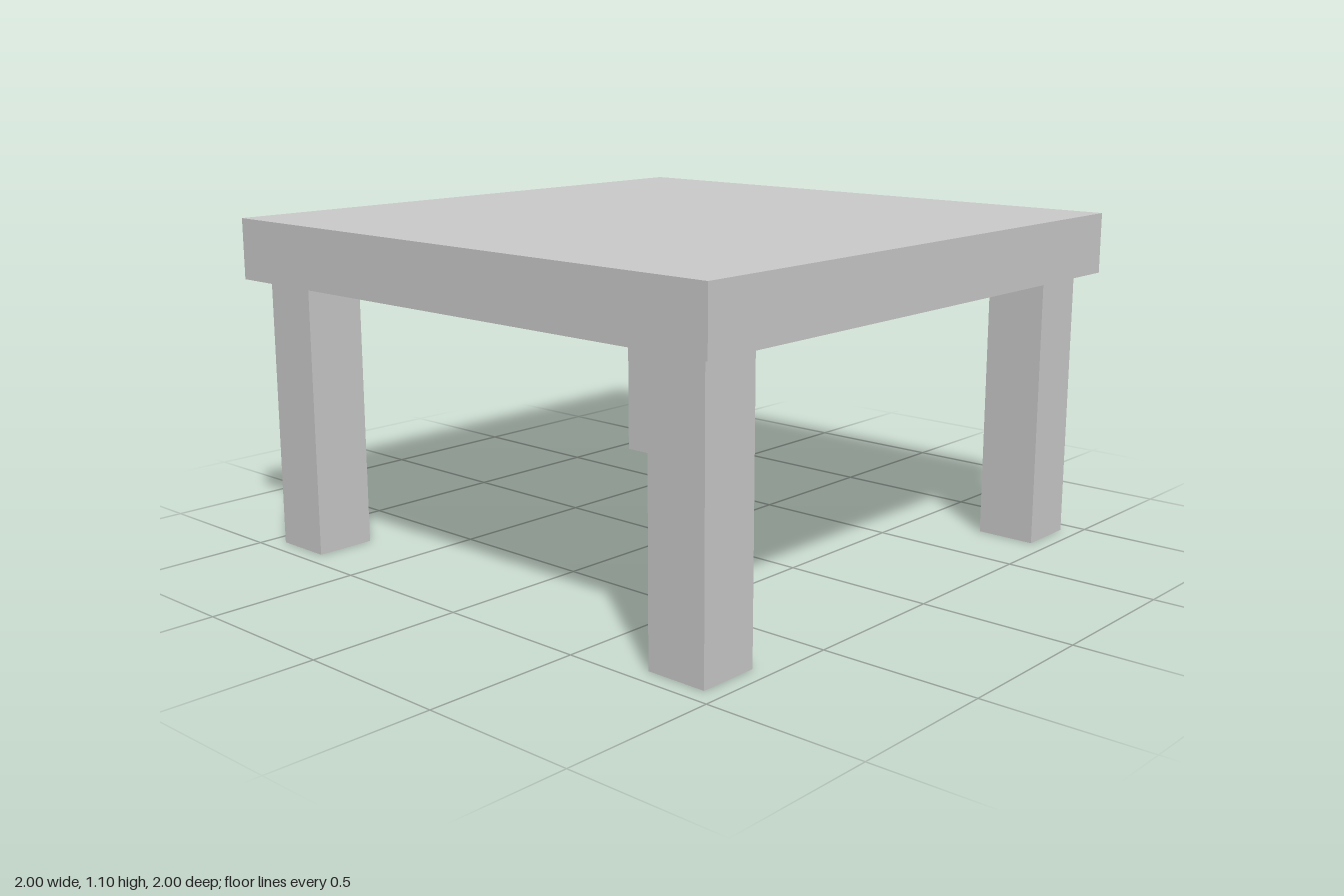
import * as THREE from 'three';

const TOP_SIZE = 2, TOP_THICKNESS = 0.2;
const LEG_WIDTH = 0.2, LEG_HEIGHT = 0.9, LEG_OFFSET = 0.84;

export function createModel() {
  const table = new THREE.Group();
  table.name = 'table';
  const material = new THREE.MeshStandardMaterial({ color: 0xcccccc });

  // Square slab resting on the legs
  const top = new THREE.Mesh(new THREE.BoxGeometry(TOP_SIZE, TOP_THICKNESS, TOP_SIZE), material);
  top.name = 'tableTop';
  top.position.y = LEG_HEIGHT + TOP_THICKNESS / 2;
  table.add(top);

  // Four square legs, set in slightly from the corners
  const legGeometry = new THREE.BoxGeometry(LEG_WIDTH, LEG_HEIGHT, LEG_WIDTH);
  for (const [side, x] of [['Left', 1], ['Right', -1]]) {
    for (const [end, z] of [['front', 1], ['back', -1]]) {
      const leg = new THREE.Mesh(legGeometry, material);
      leg.name = `${end}${side}Leg`;
      leg.position.set(x * LEG_OFFSET, LEG_HEIGHT / 2, z * LEG_OFFSET);
      table.add(leg);
    }
  }
  return table;
}
